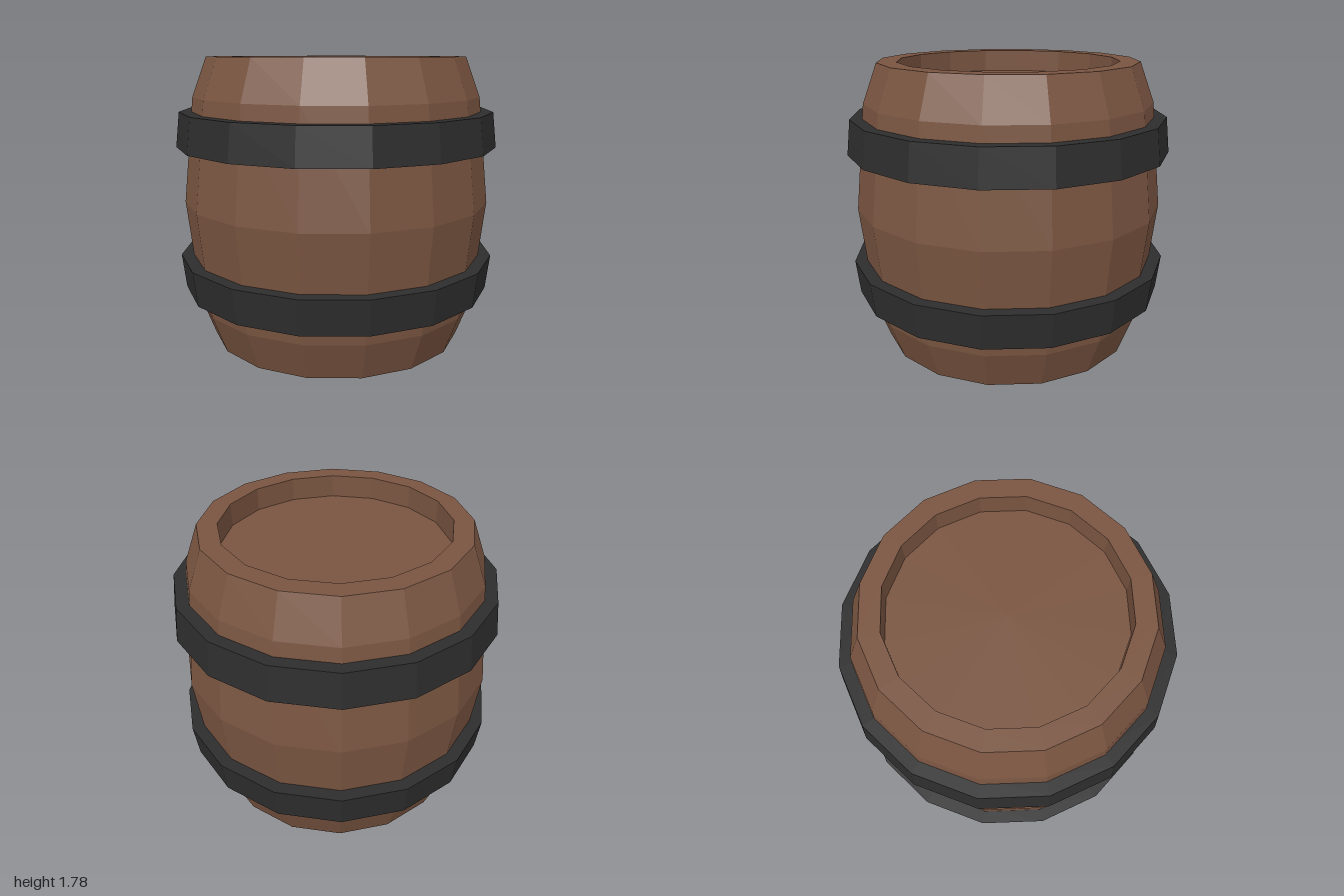
import * as THREE from 'three';

const SIDES = 16;
const HEIGHT = 1.78;

// Faceted solid of revolution; the profile runs upward along its outer side
function turned(name, profile, material) {
  const points = profile.map(([r, y]) => new THREE.Vector2(r, y));
  const mesh = new THREE.Mesh(new THREE.LatheGeometry(points, SIDES), material);
  mesh.name = name;
  return mesh;
}

// Profile flipped top to bottom, reversed so that it still runs upward
const flipped = (profile) => profile.map(([r, y]) => [r, HEIGHT - y]).reverse();

export function createModel() {
  const barrel = new THREE.Group();
  barrel.name = 'barrel';
  const wood = new THREE.MeshStandardMaterial({ color: 0x7a5541, flatShading: true });
  const iron = new THREE.MeshStandardMaterial({ color: 0x2d2d2d, flatShading: true });

  // Bulging body with a recessed lid at each end
  const lowerHalf = [[0, 0.14], [0.68, 0.14], [0.68, 0], [0.8, 0], [0.89, 0.24]];
  barrel.add(turned('body', [...lowerHalf, [0.96, HEIGHT / 2], ...flipped(lowerHalf)], wood));

  // Tapered hoops, wider towards the middle of the barrel
  const hoop = [[0.87, 0.33], [0.975, 0.33], [1, 0.545], [0.9, 0.545], [0.87, 0.33]];
  barrel.add(turned('lowerHoop', hoop, iron));
  barrel.add(turned('upperHoop', flipped(hoop), iron));

  return barrel;
}
